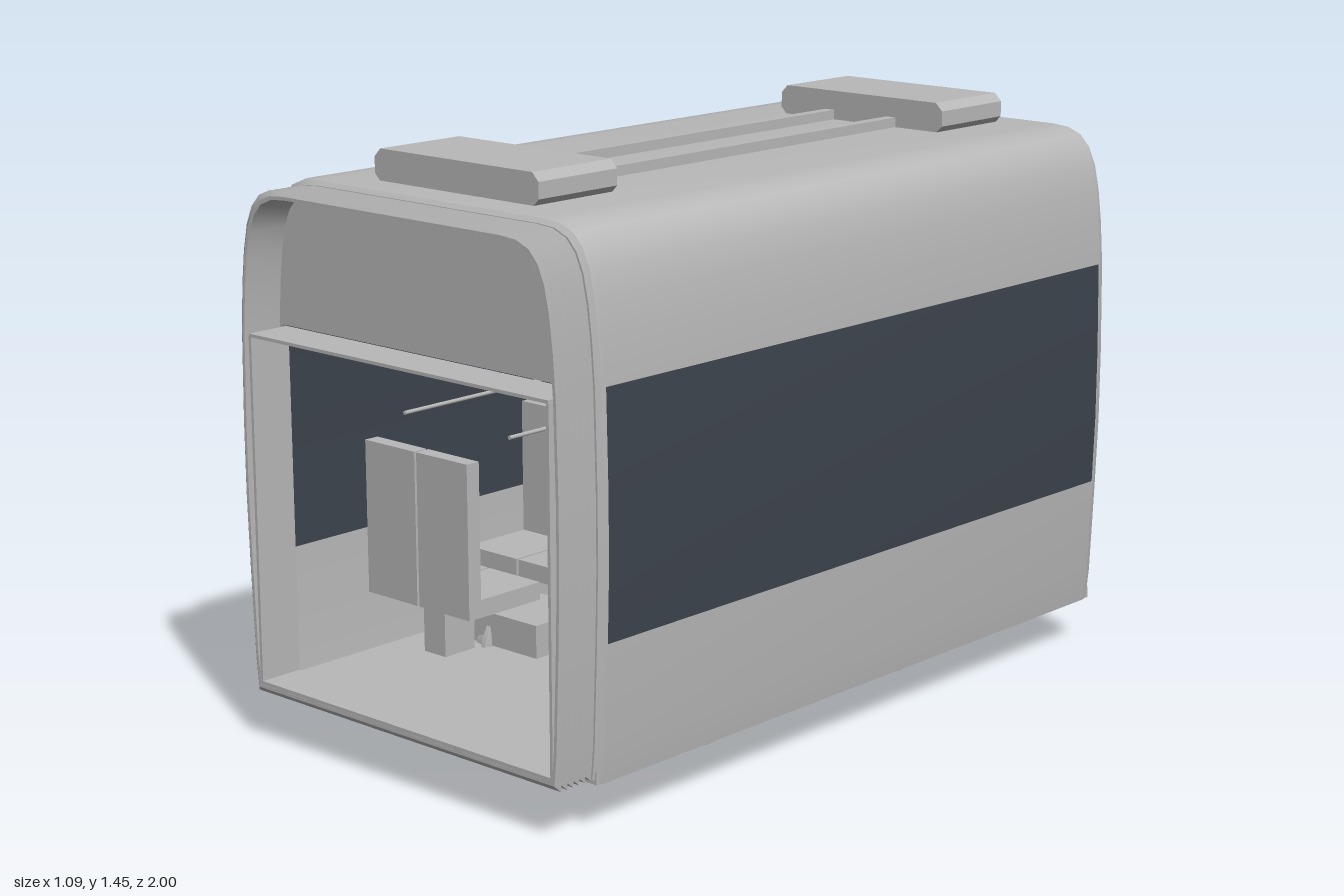
import * as THREE from 'three';
import { toCreasedNormals } from 'three/addons/utils/BufferGeometryUtils.js';

const grey = new THREE.MeshStandardMaterial({ color: 0xb8b8b8, side: THREE.DoubleSide });
grey.name = 'body grey';
const dark = new THREE.MeshStandardMaterial({ color: 0x3d444d, side: THREE.DoubleSide });
dark.name = 'window dark';

// Half outline of the car body, bottom to roof centre
const HALF = [[0.522, 0.12], [0.53, 0.2], [0.54, 0.45], [0.545, 0.62], [0.545, 0.8], [0.54, 1.03],
  [0.532, 1.14], [0.522, 1.22], [0.508, 1.285], [0.488, 1.33], [0.46, 1.36], [0.42, 1.376], [0.37, 1.38]];

// Full outline from right bottom over the roof to left bottom, shrunk by an inset
function section(inset) {
  const kx = 1 - inset / 0.545, ky = 1 - inset / 0.63;
  const half = HALF.map(([x, y]) => [x * kx, 0.75 + (y - 0.75) * ky]);
  return [...half.map(([x, y]) => [-x, y]), ...half.slice().reverse()];
}

// Skin over cross-sections given as [z, inset]; window cells get the dark material
function loft(rings, closed, isWindow = () => false) {
  const pos = [], plain = [], glass = [];
  const n = section(0).length;
  rings.forEach(([z, inset]) => section(inset).forEach(([x, y]) => pos.push(x, y, z)));
  for (let i = 0; i < rings.length - 1; i++) {
    for (let j = 0; j < (closed ? n : n - 1); j++) {
      const a = i * n + j, b = i * n + (j + 1) % n, c = b + n, d = a + n;
      (isWindow(i, j) ? glass : plain).push(a, d, c, a, c, b);
    }
  }
  const g = new THREE.BufferGeometry();
  g.setAttribute('position', new THREE.Float32BufferAttribute(pos, 3));
  g.setIndex([...plain, ...glass]);
  g.addGroup(0, plain.length, 0);
  if (glass.length) g.addGroup(plain.length, glass.length, 1);
  return toCreasedNormals(g, 0.6);
}

export function createModel() {
  const root = new THREE.Group();
  const add = (name, geo, x = 0, y = 0, z = 0, mat = grey, parent = root) => {
    const m = new THREE.Mesh(geo, mat);
    m.name = name;
    m.position.set(x, y, z);
    parent.add(m);
    return m;
  };
  const box = (name, w, h, d, x, y, z, mat, parent) =>
    add(name, new THREE.BoxGeometry(w, h, d), x, y, z, mat, parent);
  const rodX = (r, len, seg = 24) => new THREE.CylinderGeometry(r, r, len, seg).rotateZ(Math.PI / 2);

  // Outer and inner skins with window bands on both sides
  const windowCell = (zi) => (i, j) => {
    const k = Math.min(j, 2 * HALF.length - 2 - j);
    return i === zi && k >= 2 && k <= 4;
  };
  const skin = [grey, dark];
  add('outerShell', loft([[-1, 0.012], [-0.988, 0.002], [-0.97, 0], [0.87, 0], [0.882, 0.002], [0.892, 0.012]],
    false, windowCell(2)), 0, 0, 0, skin);
  add('innerLining', loft([[-0.99, 0.022], [-0.97, 0.022], [0.87, 0.022], [0.885, 0.022]],
    false, windowCell(1)), 0, 0, 0, skin);

  // End walls with a doorway; the rear one has rounded top corners
  function endWall(name, z, r) {
    const s = new THREE.Shape(section(0.012).map(([x, y]) => new THREE.Vector2(x, y)));
    const h = new THREE.Path();
    const w = 0.502, top = 1.02;
    h.moveTo(-w, 0.15);
    h.lineTo(w, 0.15);
    h.lineTo(w, top - r);
    h.quadraticCurveTo(w, top, w - r, top);
    h.lineTo(-w + r, top);
    h.quadraticCurveTo(-w, top, -w, top - r);
    h.closePath();
    s.holes.push(h);
    add(name, new THREE.ExtrudeGeometry(s, { depth: 0.015, bevelEnabled: false, curveSegments: 10 }), 0, 0, z);
  }
  endWall('rearWall', -1, 0.11);
  endWall('frontWall', 0.877, 0.01);
  box('floor', 1.04, 0.03, 1.885, 0, 0.136, -0.054);

  // Folded bellows at the front
  const folds = [];
  for (let i = 0; i <= 12; i++) folds.push([0.888 + i * 0.112 / 12, i % 2 ? 0.012 : 0.024]);
  add('bellows', loft(folds, true));
  add('bellowsLining', loft([[0.888, 0.032], [1, 0.032]], true));
  add('bellowsRim', loft([[1, 0.024], [0.9999, 0.032]], true));

  // Thin passage frame inside the bellows
  for (const s of [-1, 1]) box('passageJamb', 0.008, 0.86, 0.115, s * 0.49, 0.58, 0.942);
  box('passageLintel', 0.985, 0.008, 0.115, 0, 1.012, 0.942);
  box('passageSill', 0.985, 0.012, 0.115, 0, 0.155, 0.942);

  // Roof units and the pipes joining them
  const c = 0.02, rw = 0.267, r0 = 1.376, r1 = 1.455;
  const unit = new THREE.Shape([[-rw + c, r0], [rw - c, r0], [rw, r0 + c], [rw, r1 - c], [rw - c, r1],
    [-rw + c, r1], [-rw, r1 - c], [-rw, r0 + c]].map(([x, y]) => new THREE.Vector2(x, y)));
  for (const z of [0.545, -0.9]) {
    add('roofUnit', new THREE.ExtrudeGeometry(unit, { depth: 0.25, bevelEnabled: false }), 0, 0, z);
  }
  for (const s of [-1, 1]) box('roofPipe', 0.03, 0.03, 1.2, s * 0.102, 1.39, -0.052);

  // Double seats; dir is the way they face along z
  function seatPair(side, z, dir) {
    const g = new THREE.Group();
    g.name = 'seatPair';
    root.add(g);
    for (const x of [0.23, 0.413]) {
      box('seatBack', 0.176, 0.39, 0.04, side * x, 0.495, z, grey, g);
      box('seatCushion', 0.176, 0.045, 0.2, side * x, 0.322, z + dir * 0.12, grey, g);
    }
    box('seatPedestal', 0.075, 0.15, 0.1, side * 0.352, 0.225, z + dir * 0.11, grey, g);
  }
  for (const s of [-1, 1]) {
    seatPair(s, 0.62, -1);
    seatPair(s, 0.08, 1);
    seatPair(s, -0.6, -1);
    add('grabRail', new THREE.CylinderGeometry(0.005, 0.005, 1.55, 8).rotateX(Math.PI / 2), s * 0.174, 0.842, 0.03);
  }

  // Hanging display with a dark screen on both faces
  box('displayCase', 0.256, 0.088, 0.03, 0, 0.942, 0);
  for (const s of [-1, 1]) box('displayScreen', 0.23, 0.074, 0.004, 0, 0.942, s * 0.016, dark);
  add('displayRod', new THREE.CylinderGeometry(0.006, 0.006, 0.38, 8), 0, 1.17, 0);

  // Wheelsets, brake discs, motors and the covers over them
  const tread = [[0, -0.028], [0.1, -0.028], [0.125, -0.022], [0.125, -0.01], [0.112, 0], [0.108, 0.024], [0.09, 0.028],
    [0.08, 0.014], [0.04, 0.014], [0.035, 0.028], [0, 0.028]].map(([x, y]) => new THREE.Vector2(x, y));
  const wheel = toCreasedNormals(new THREE.LatheGeometry(tread, 32), 0.5);
  for (const [z, zm] of [[0.322, 0.14], [-0.422, -0.235]]) {
    add('axle', rodX(0.022, 0.7), 0, 0.127, z);
    add('motor', rodX(0.07, 0.3, 16), 0, 0.147, zm);
    for (const s of [-1, 1]) {
      const w = add('wheel', wheel, s * 0.318, 0.127, z);
      w.rotation.z = -s * Math.PI / 2;
      add('brakeDisc', rodX(0.085, 0.02), s * 0.2, 0.135, z);
      box('axleBox', 0.045, 0.1, 0.16, s * 0.365, 0.15, z);
      box('wheelCover', 0.36, 0.085, 0.2, s * 0.315, 0.195, z);
    }
  }
  return root;
}
